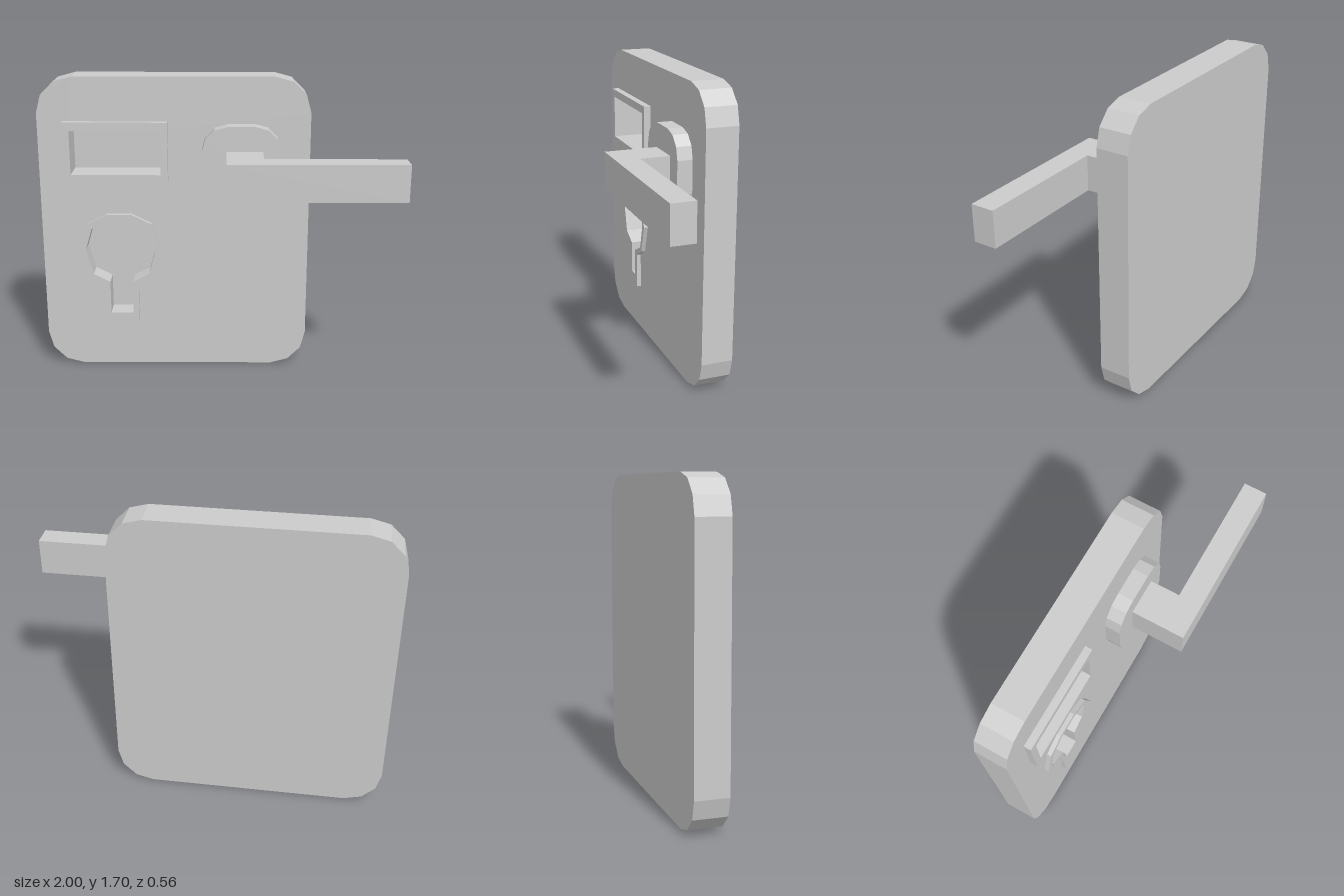
import * as THREE from 'three';

const material = new THREE.MeshStandardMaterial({ color: 0xcccccc, flatShading: true });
const toPoints = (list) => list.map(([x, y]) => new THREE.Vector2(x, y));

// Rectangle outline, with optional corners rounded in three facets
function rectPoints(x0, x1, y0, y1, r = 0) {
  if (!r) return toPoints([[x0, y0], [x1, y0], [x1, y1], [x0, y1]]);
  const points = [];
  const centres = [[x1 - r, y1 - r], [x0 + r, y1 - r], [x0 + r, y0 + r], [x1 - r, y0 + r]];
  centres.forEach(([cx, cy], corner) => {
    for (let i = 0; i <= 3; i++) {
      const a = (corner + i / 3) * Math.PI / 2;
      points.push(new THREE.Vector2(cx + r * Math.cos(a), cy + r * Math.sin(a)));
    }
  });
  return points;
}

// Keyhole outline mirrored from its right half, listed top to bottom
function keyholePoints(half) {
  const cx = -0.56;
  return toPoints([
    ...half.map(([x, y]) => [cx + x, y]),
    ...half.slice().reverse().map(([x, y]) => [cx - x, y]),
  ]);
}

// Extrude an outline from z0 to z1
function slab(name, outline, z0, z1, holes = []) {
  const shape = new THREE.Shape(outline);
  shape.holes = holes.map((h) => new THREE.Path(h));
  const geometry = new THREE.ExtrudeGeometry(shape, { depth: z1 - z0, bevelEnabled: false });
  geometry.translate(0, 0, z0);
  const mesh = new THREE.Mesh(geometry, material);
  mesh.name = name;
  return mesh;
}

export function createModel() {
  const model = new THREE.Group();
  model.name = 'lockPlateWithHandle';
  const back = -0.28, front = -0.10;

  const windowOuter = rectPoints(-0.86, -0.28, 1.12, 1.455);
  const windowInner = rectPoints(-0.82, -0.32, 1.16, 1.41);
  const keyOuter = keyholePoints([
    [0.07, 0.925], [0.18, 0.87], [0.23, 0.71], [0.18, 0.54], [0.1, 0.49], [0.1, 0.28],
  ]);
  const keyInner = keyholePoints([
    [0.066, 0.893], [0.16, 0.84], [0.2, 0.707], [0.16, 0.56], [0.066, 0.512], [0.066, 0.32],
  ]);

  // Plate with its two recesses and their floors
  model.add(slab('plate', rectPoints(-1, 0.51, 0, 1.7, 0.2), back, front, [windowInner, keyInner]));
  model.add(slab('windowFloor', windowInner, back, -0.24));
  model.add(slab('keyholeFloor', keyInner, back, -0.22));

  // Raised rims around the recesses
  model.add(slab('windowFrame', windowOuter, front, -0.06, [windowInner]));
  model.add(slab('keyholeRim', keyOuter, front, -0.075, [keyInner]));

  // Rosette behind the handle
  model.add(slab('handleRosette', rectPoints(-0.09, 0.345, 0.977, 1.44, 0.14), front, -0.015));

  // L-shaped handle, drawn in plan (x, -z) and extruded upwards
  const handle = slab('handle', toPoints([
    [0.045, 0.015], [0.045, -0.28], [1, -0.28], [1, -0.15], [0.245, -0.15], [0.245, 0.015],
  ]), 1.1, 1.303);
  handle.geometry.rotateX(-Math.PI / 2);
  model.add(handle);

  return model;
}
